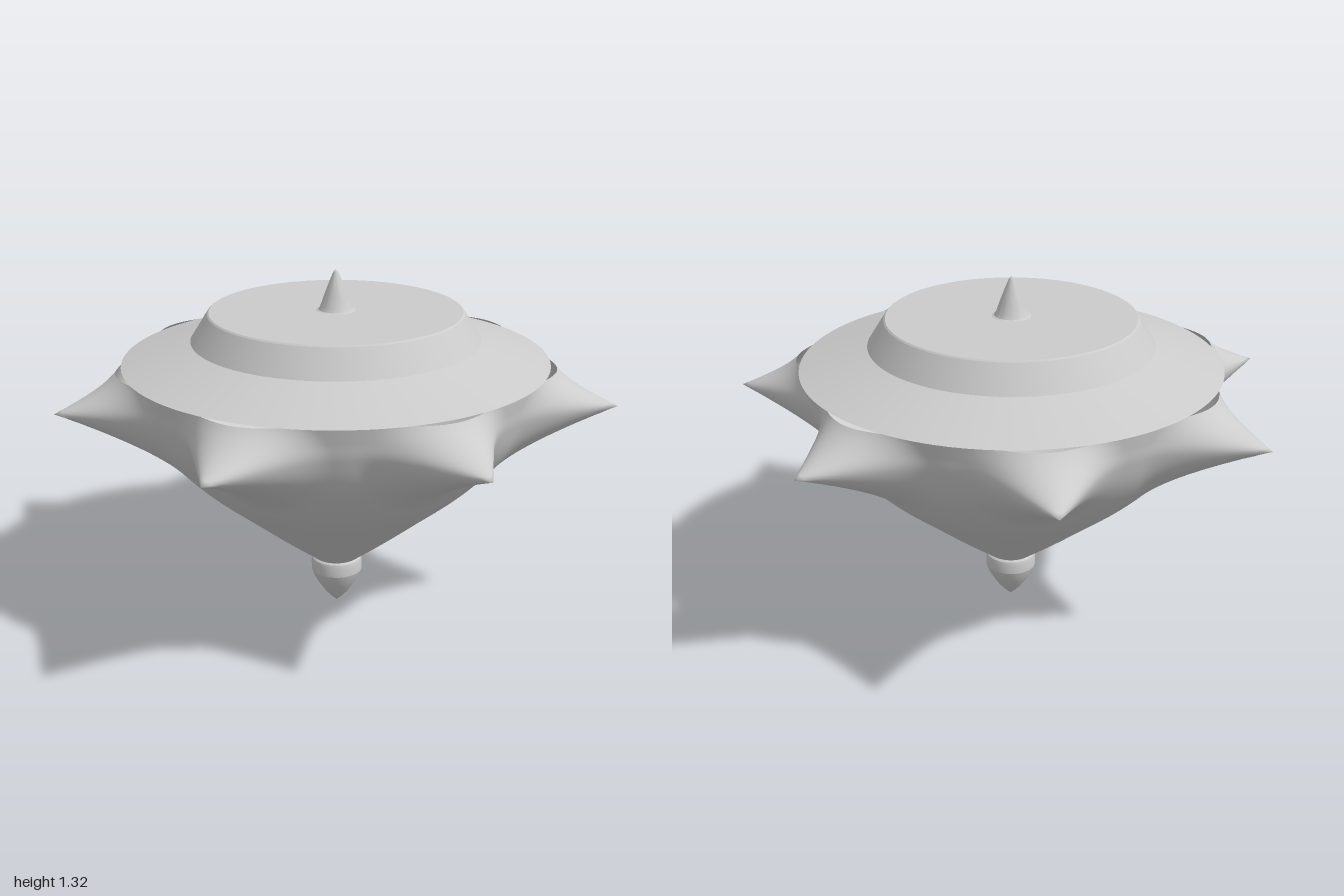
import * as THREE from 'three';
import { mergeVertices, toCreasedNormals } from 'three/addons/utils/BufferGeometryUtils.js';

const SPIKES = 7;
const SPIKE_Y = 0.865;
const material = new THREE.MeshStandardMaterial({ color: 0xcccccc, side: THREE.DoubleSide });
const vectors = (pairs) => pairs.map(([r, y]) => new THREE.Vector2(r, y));

function addMesh(group, name, geometry) {
  const mesh = new THREE.Mesh(geometry, material);
  mesh.name = name;
  group.add(mesh);
}

// Turned part: profile runs from bottom to top, sharp corners stay sharp
function turned(pairs, segments = 96) {
  return toCreasedNormals(new THREE.LatheGeometry(vectors(pairs), segments), 0.3);
}

// Bowl-shaped body whose rim is pulled outwards into seven flared spikes
function spikedBody() {
  const curve = new THREE.SplineCurve(vectors([
    [0.085, 0.195], [0.22, 0.3], [0.36, 0.415], [0.515, 0.545], [0.63, 0.665],
    [0.7, 0.765], [0.738, SPIKE_Y], [0.75, 0.93], [0.76, 0.988],
  ]));
  let geometry = new THREE.LatheGeometry(curve.getPoints(8 * 8), SPIKES * 48, Math.PI / 2);
  const position = geometry.attributes.position;
  const sector = (2 * Math.PI) / SPIKES;
  for (let i = 0; i < position.count; i++) {
    const x = position.getX(i), y = position.getY(i), z = position.getZ(i);
    const r = Math.hypot(x, z);
    const angle = Math.atan2(z, x);
    const across = (angle - Math.round(angle / sector) * sector) * 0.75 / 0.3;
    const up = (y - SPIKE_Y) / (y > SPIKE_Y ? 0.2 : 0.27);
    const fade = Math.max(0, 1 - Math.hypot(across, up));
    const scale = (r + 0.287 * fade * fade) / r;
    position.setXYZ(i, x * scale, y, z * scale);
  }
  geometry.deleteAttribute('uv');
  geometry.deleteAttribute('normal');
  geometry = mergeVertices(geometry, 1e-5);
  geometry.computeVertexNormals();
  return geometry;
}

export function createModel() {
  const group = new THREE.Group();
  group.name = 'spinningTop';

  addMesh(group, 'spikedBody', spikedBody());

  // Stepped lid
  addMesh(group, 'cap', turned([
    [0, 0.983], [0.76, 0.983], [0.78, 0.99], [0.528, 1.068], [0.466, 1.166], [0.46, 1.171], [0, 1.171],
  ], 128));

  // Pointed stem with a small fillet at its foot
  addMesh(group, 'stem', turned([
    [0.075, 1.17], [0.064, 1.174], [0.057, 1.185], [0.043, 1.225], [0.024, 1.275], [0.008, 1.313], [0, 1.32],
  ], 48));

  // Collared point it spins on
  addMesh(group, 'spinningTip', turned([
    [0, 0], [0.02, 0.018], [0.045, 0.046], [0.07, 0.083], [0.087, 0.113], [0.097, 0.14],
    [0.097, 0.178], [0.094, 0.19], [0.085, 0.198], [0, 0.198],
  ], 48));

  // The uneven spike count puts the axis slightly off centre
  group.children.forEach((mesh) => { mesh.position.x = -0.05; });
  return group;
}
